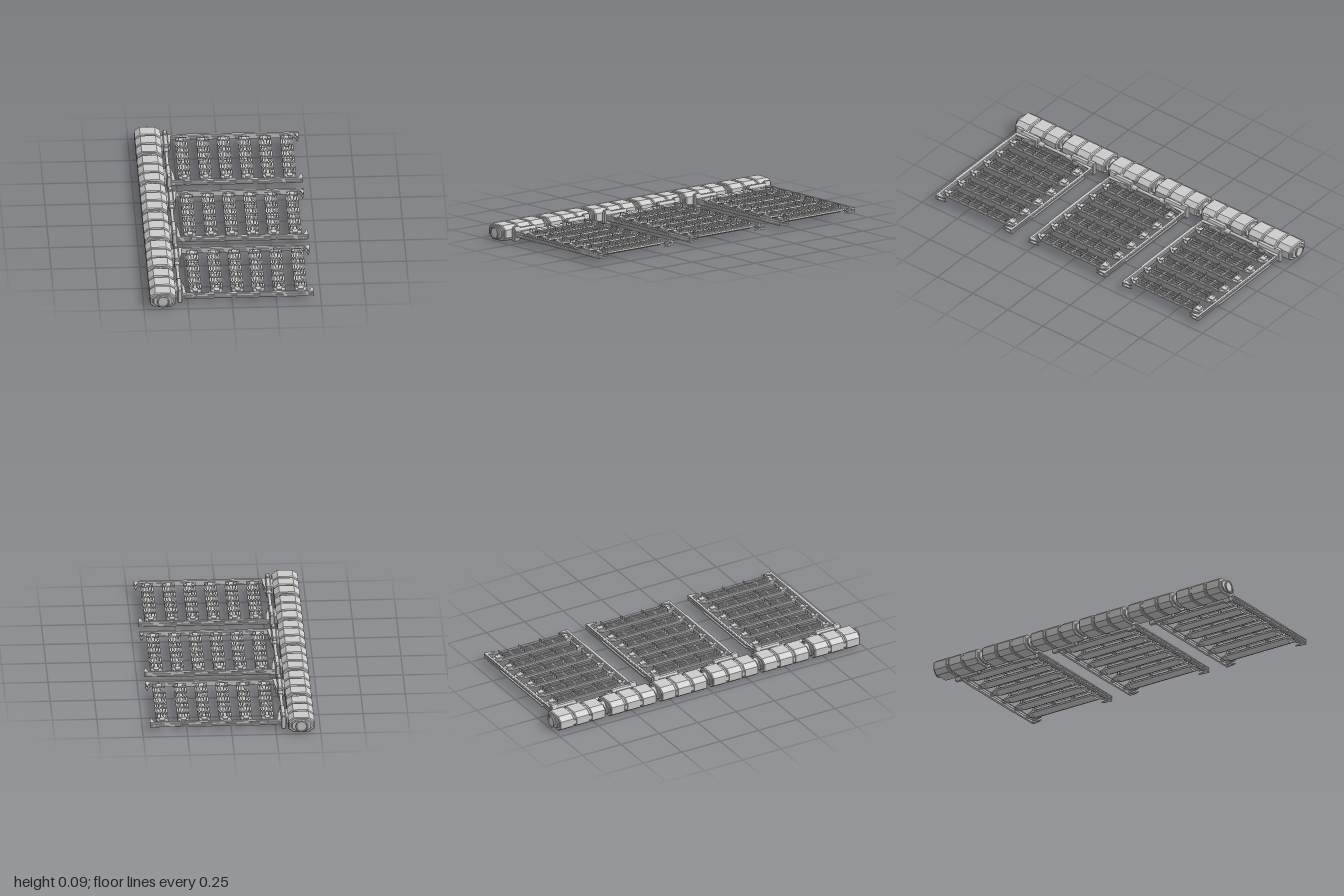
import * as THREE from 'three';

const mat = new THREE.MeshStandardMaterial({ color: 0xcccccc, flatShading: true });
const smooth = new THREE.MeshStandardMaterial({ color: 0xcccccc });

function add(parent, name, geo, x = 0, y = 0, z = 0, material = mat) {
  const m = new THREE.Mesh(geo, material);
  m.name = name;
  m.position.set(x, y, z);
  parent.add(m);
  return m;
}
const box = (parent, name, sx, sy, sz, x, y, z) => add(parent, name, new THREE.BoxGeometry(sx, sy, sz), x, y, z);

// Rectangle with cut corners
function cutRect(w, h, cx, cy) {
  const a = w / 2, b = h / 2;
  return new THREE.Shape([
    [a, -b + cy], [a, b - cy], [a - cx, b], [-a + cx, b],
    [-a, b - cy], [-a, -b + cy], [-a + cx, -b], [a - cx, -b],
  ].map(p => new THREE.Vector2(...p)));
}
// Extrusion centred along z, with an inward bevel on both ends
function prism(shape, depth, bevel = 0) {
  const g = new THREE.ExtrudeGeometry(shape, {
    depth: depth - 2 * bevel, bevelEnabled: bevel > 0, bevelThickness: bevel,
    bevelSize: bevel, bevelOffset: -bevel, bevelSegments: 1,
  });
  return g.translate(0, 0, -depth / 2 + bevel);
}
// Plan outline (x, z) raised to a plate centred on y = 0
const plate = (pts, h) => prism(new THREE.Shape(pts.map(([x, z]) => new THREE.Vector2(x, -z))), h).rotateX(-Math.PI / 2);

const SPINE_X = -0.392, MID_Y = 0.045;

// One armoured segment of the spine
function spineSegment() {
  const g = new THREE.Group();
  g.name = 'spineSegment';
  add(g, 'core', prism(cutRect(0.132, 0.078, 0.03, 0.02), 0.3, 0.01));
  const band = prism(cutRect(0.146, 0.09, 0.03, 0.022), 0.092, 0.005);
  for (const z of [-0.102, 0, 0.102]) add(g, 'armourBand', band, 0, 0, z);
  for (const s of [-1, 1]) {
    add(g, 'endCollar', prism(cutRect(0.11, 0.068, 0.026, 0.018), 0.012, 0.004), 0, 0, s * 0.152);
    for (const z of [-0.052, 0.052]) box(g, 'sideLatch', 0.018, 0.024, 0.02, s * 0.062, 0, z);
  }
  return g;
}

// Slat with chamfered plan, keel, pivots and a wire cage on top
function slat() {
  const g = new THREE.Group();
  g.name = 'slat';
  const outline = (w, l) => [[-w, -l + 0.03], [-w * 0.55, -l], [w * 0.55, -l], [w, -l + 0.03],
    [w, l - 0.03], [w * 0.55, l], [-w * 0.55, l], [-w, l - 0.03]].reverse();
  add(g, 'deck', plate(outline(0.035, 0.245), 0.01), 0, 0.047, 0);
  // Trough-shaped underside
  const keel = new THREE.Shape([[-0.033, 0.043], [-0.012, 0.031], [0.012, 0.031], [0.033, 0.043]].map(p => new THREE.Vector2(...p)));
  add(g, 'keel', prism(keel, 0.42));
  for (const x of [-0.024, -0.008, 0.008, 0.024]) box(g, 'rib', 0.005, 0.007, 0.4, x, 0.055, 0);
  for (const z of [-0.205, -0.135, -0.068, 0, 0.068, 0.135, 0.205]) {
    box(g, 'crossRib', 0.066, 0.006, 0.008, 0, 0.055, z);
  }
  for (const z of [-0.2, -0.068, 0.068, 0.2]) {
    box(g, 'cageBar', 0.068, 0.002, 0.003, 0, 0.077, z);
    for (const x of [-0.033, -0.014, 0.014, 0.033]) box(g, 'cagePost', 0.002, 0.026, 0.003, x, 0.064, z);
  }
  for (const x of [-0.014, 0.014]) box(g, 'cageRail', 0.002, 0.002, 0.4, x, 0.077, 0);
  for (const s of [-1, 1]) {
    box(g, 'pivot', 0.018, 0.014, 0.03, 0, 0.045, s * 0.252);
    box(g, 'pivotCap', 0.03, 0.01, 0.03, 0, 0.054, s * 0.222);
  }
  return g;
}

// Channel-shaped side rail with an inward hook at the tip (s is the z side)
function sideRail(s) {
  const g = new THREE.Group();
  g.name = 'sideRail';
  box(g, 'railWeb', 0.74, 0.026, 0.005, 0.09, MID_Y, s * 0.264);
  for (const y of [0.032, 0.045, 0.058]) box(g, 'railFlange', 0.74, 0.005, 0.013, 0.09, y, s * 0.265);
  const pad = [[-0.22, 0.262], [-0.2, 0.277], [0.27, 0.277], [0.3, 0.262]].map(([x, z]) => [x, s * z]);
  for (const y of [0.035, 0.055]) add(g, 'railPad', plate(s > 0 ? pad : pad.reverse(), 0.007), 0, y, 0);
  const hook = [[0.43, 0.268], [0.46, 0.268], [0.458, 0.235], [0.45, 0.205], [0.443, 0.235]].map(([x, z]) => [x, s * z]);
  for (const y of [0.034, 0.055]) add(g, 'tipHook', plate(s > 0 ? hook.reverse() : hook, 0.008), 0, y, 0);
  for (const y of [0.036, 0.054]) {
    const pin = add(g, 'tipPin', new THREE.CylinderGeometry(0.004, 0.004, 0.016, 8), 0.452, y, s * 0.266);
    pin.rotation.x = Math.PI / 2;
  }
  return g;
}

// Hinge block that ties a rail to the spine
function hinge(s) {
  const g = new THREE.Group();
  g.name = 'hinge';
  const z = s * 0.195;
  add(g, 'hingeBlock', prism(cutRect(0.03, 0.066, 0.006, 0.01), 0.16, 0.005), -0.294, MID_Y, z);
  add(g, 'hingeEnd', prism(cutRect(0.026, 0.084, 0.005, 0.012), 0.045, 0.004), -0.294, 0.046, s * 0.255);
  box(g, 'spineLink', 0.03, 0.044, 0.11, -0.315, MID_Y, z);
  const gusset = [[-0.285, 0.13], [-0.275, 0.135], [-0.264, 0.2], [-0.26, 0.27], [-0.285, 0.27]].map(([x, v]) => [x, s * v]);
  if (s < 0) gusset.reverse();
  for (const y of [0.033, 0.057]) add(g, 'gusset', plate(gusset.slice().reverse(), 0.008), 0, y, 0);
  box(g, 'gussetWeb', 0.012, 0.02, 0.13, -0.275, MID_Y, s * 0.2);
  return g;
}

function panel() {
  const g = new THREE.Group();
  g.name = 'panel';
  const slatXs = [-0.205, -0.085, 0.032, 0.15, 0.267, 0.388];
  for (const x of slatXs) {
    const sl = slat();
    sl.position.x = x;
    g.add(sl);
  }
  for (const s of [-1, 1]) g.add(sideRail(s), hinge(s));
  // Hinge shaft with sleeves
  const shaft = add(g, 'hingeShaft', new THREE.CylinderGeometry(0.009, 0.009, 0.3, 16), -0.294, MID_Y, 0, smooth);
  shaft.rotation.x = Math.PI / 2;
  for (const z of [-0.1, 0.1]) {
    const c = add(g, 'shaftSleeve', new THREE.CylinderGeometry(0.015, 0.015, 0.04, 12), -0.294, MID_Y, z);
    c.rotation.x = Math.PI / 2;
  }
  return g;
}

export function createModel() {
  const model = new THREE.Group();
  model.name = 'foldingPanelArray';
  // Spine of six segments with round joints between them
  for (let i = 0; i < 6; i++) {
    const seg = spineSegment();
    seg.position.set(SPINE_X, MID_Y, (i - 2.5) * 0.332);
    model.add(seg);
  }
  for (let i = -2; i <= 2; i++) {
    const j = add(model, 'spineJoint', new THREE.CylinderGeometry(0.033, 0.033, 0.04, 24), SPINE_X, MID_Y, i * 0.332, smooth);
    j.rotation.x = Math.PI / 2;
  }
  // Docking rings on both ends
  for (const s of [-1, 1]) {
    const hub = add(model, 'endHub', new THREE.CylinderGeometry(0.031, 0.031, 0.03, 32), SPINE_X, MID_Y, s * 0.98);
    hub.rotation.x = Math.PI / 2;
    add(model, 'endRing', new THREE.TorusGeometry(0.031, 0.004, 8, 32), SPINE_X, MID_Y, s * 0.996, smooth);
  }
  // Three slatted panels along the spine
  for (const z of [-0.664, 0, 0.664]) {
    const p = panel();
    p.position.z = z;
    model.add(p);
  }
  return model;
}
